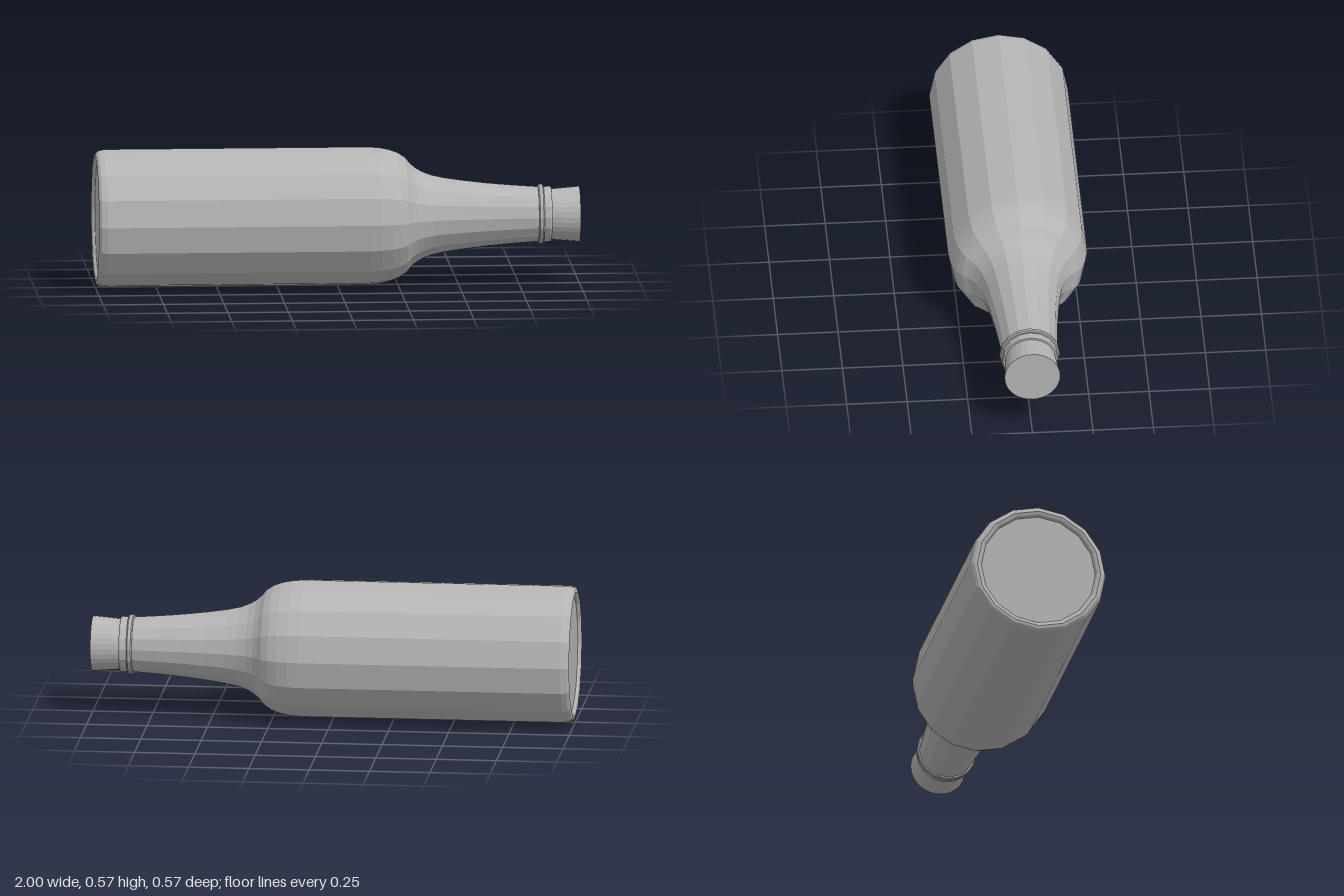
import * as THREE from 'three';

// Bottle lying on its side along x, neck towards +x
export function createModel() {
  const group = new THREE.Group();
  group.name = 'bottle';
  const grey = new THREE.MeshStandardMaterial({ color: 0xb4b4b4, flatShading: true });
  grey.name = 'grey';

  const axis = new THREE.Group();
  axis.name = 'bottleAxis';
  axis.rotation.z = -Math.PI / 2;
  axis.position.y = 0.288;
  group.add(axis);

  // Turn a profile of [position along the bottle, radius] pairs
  function turned(name, profile, sides) {
    const points = profile.map(([along, r]) => new THREE.Vector2(r, along));
    const mesh = new THREE.Mesh(new THREE.LatheGeometry(points, sides), grey);
    mesh.name = name;
    axis.add(mesh);
  }

  // Slightly recessed base with a rounded rim
  turned('base', [
    [-0.985, 0], [-0.985, 0.24], [-0.995, 0.248], [-1, 0.26],
    [-0.997, 0.272], [-0.988, 0.281], [-0.965, 0.287],
  ], 16);

  // Straight body, rounded shoulder and tapering neck
  turned('body', [
    [-0.965, 0.287], [0.12, 0.287], [0.17, 0.284], [0.215, 0.275],
    [0.25, 0.262], [0.28, 0.242], [0.3, 0.218], [0.32, 0.2],
    [0.35, 0.182], [0.39, 0.167], [0.44, 0.156], [0.52, 0.144],
    [0.62, 0.132], [0.72, 0.123], [0.83, 0.115],
  ], 16);

  // Raised ring below the mouth
  turned('neckRing', [
    [0.828, 0.112], [0.828, 0.121], [0.833, 0.125], [0.846, 0.125],
    [0.851, 0.121], [0.851, 0.112],
  ], 16);

  // Mouth lip
  turned('lip', [
    [0.85, 0.115], [0.877, 0.117], [0.883, 0.114], [0.884, 0.098],
  ], 16);

  // Flared stopper
  turned('stopper', [[0.86, 0.103], [1, 0.115], [1, 0]], 32);

  return group;
}
